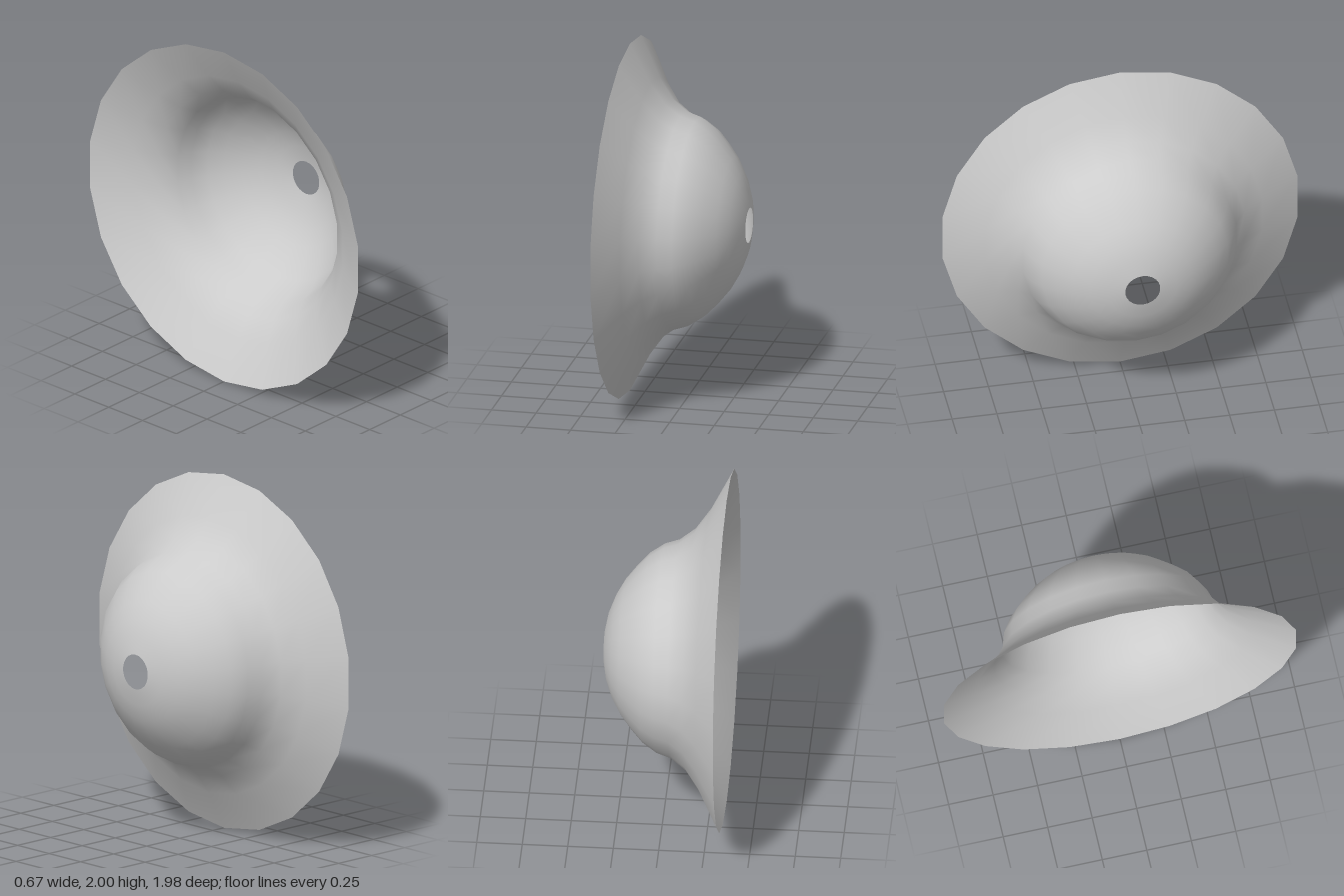
import * as THREE from 'three';

export function createModel() {
  const group = new THREE.Group();
  group.name = 'flaredDome';

  // Profile as [radius, position along the axis], from flared rim to centre hole
  const profile = [
    [1, -0.335], [0.78, -0.22], [0.665, -0.138], [0.601, -0.053],
    [0.575, 0.027], [0.522, 0.106], [0.453, 0.17], [0.374, 0.233],
    [0.288, 0.281], [0.193, 0.317], [0.098, 0.335],
  ].map(([r, a]) => new THREE.Vector2(r, a));

  // Thin open shell, turned so that the dome points to +x
  const geometry = new THREE.LatheGeometry(profile, 22, Math.PI / 2);
  geometry.rotateZ(-Math.PI / 2);

  const shell = new THREE.Mesh(
    geometry,
    new THREE.MeshStandardMaterial({ color: 0xcccccc, side: THREE.DoubleSide }),
  );
  shell.name = 'domedShell';
  shell.position.y = 1;
  group.add(shell);

  return group;
}
